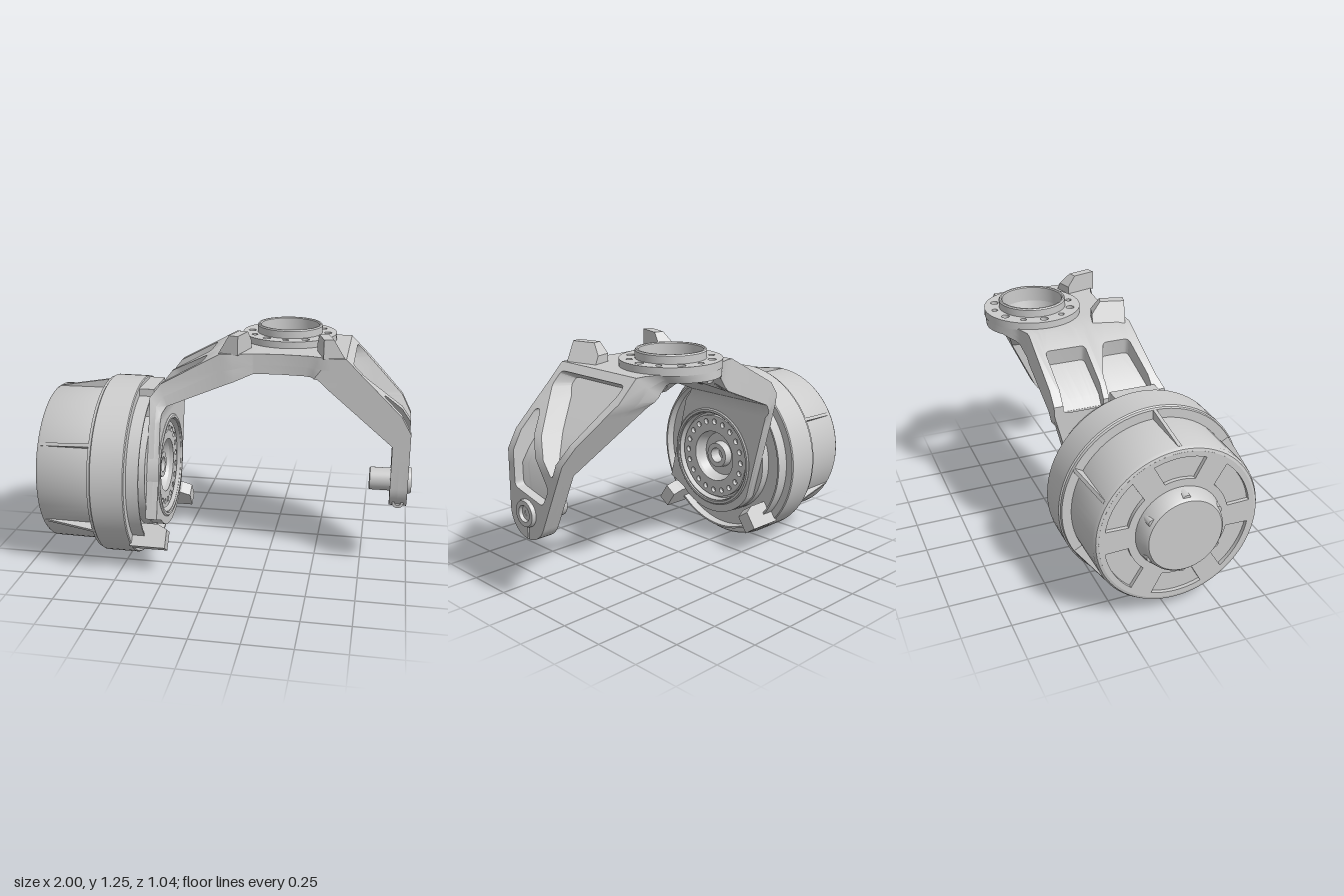
import * as THREE from 'three';
import { toCreasedNormals } from 'three/addons/utils/BufferGeometryUtils.js';

const material = new THREE.MeshStandardMaterial({ color: 0xcccccc });
const AY = 0.485, AZ = 0.035; // height and depth of the wheel axle
const SX = 0.31, SZ = -0.262; // centre of the swivel flange
const { lerp, clamp } = THREE.MathUtils;

function add(parent, name, geo, crease = 0.6) {
  const mesh = new THREE.Mesh(toCreasedNormals(geo, crease), material);
  mesh.name = name;
  parent.add(mesh);
}

const arc = (x, y, r, a0, a1, n) => Array.from({ length: n + 1 }, (_, i) => {
  const a = lerp(a0, a1, i / n);
  return [x + r * Math.cos(a), y + r * Math.sin(a)];
});
const circle = (x, y, r, n = 24) => arc(x, y, r, 0, Math.PI * 2, n).slice(0, n);
const around = (n, f, start = 0) => Array.from({ length: n }, (_, i) => f(start + i / n * Math.PI * 2, i));

// Polygon with its corners rounded off
const rounded = (points, r) => points.flatMap((p, i) => {
  const c = new THREE.Vector2(...p);
  const [a, b] = [i + points.length - 1, i + 1].map(k => {
    const d = new THREE.Vector2(...points[k % points.length]).sub(c);
    return d.clone().setLength(Math.min(r, d.length() * 0.4)).add(c);
  });
  return new THREE.QuadraticBezierCurve(a, c, b).getPoints(4).map(v => [v.x, v.y]);
});

// Outline is turned counter-clockwise so that hole walls face the right way
function extrude(outline, holes, depth) {
  const vec = list => list.map(([x, y]) => new THREE.Vector2(x, y));
  const points = vec(outline);
  if (THREE.ShapeUtils.isClockWise(points)) points.reverse();
  const shape = new THREE.Shape(points);
  shape.holes = holes.map(h => new THREE.Path(vec(h)));
  return new THREE.ExtrudeGeometry(shape, { depth, bevelEnabled: false });
}

// Turned part on the axle; profile points are [radius, x]
const turned = (profile, segments = 72) =>
  new THREE.LatheGeometry(profile.map(([r, x]) => new THREE.Vector2(r, x)), segments)
    .rotateZ(-Math.PI / 2).translate(0, AY, AZ);

// Flat plate square to the axle
const axlePlate = (outline, holes, x0, x1) =>
  extrude(outline, holes, x1 - x0).rotateY(Math.PI / 2).translate(x0, AY, AZ);

// Cut triangles along a plane so that the sheet can bend there
function slice(tris, axis, v) {
  const out = [];
  for (const tri of tris) for (const sign of [1, -1]) {
    const d = tri.map(p => Math.abs(p[axis] - v) < 1e-6 ? 0 : (p[axis] - v) * sign);
    if (sign < 0 && d.every(k => k === 0)) continue;
    const poly = [];
    tri.forEach((a, i) => {
      const j = (i + 1) % 3, b = tri[j];
      if (d[i] >= 0) poly.push(a);
      if (d[i] * d[j] < 0) poly.push(a.map((k, c) => lerp(k, b[c], d[i] / (d[i] - d[j]))));
    });
    for (let i = 2; i < poly.length; i++) out.push([poly[0], poly[i - 1], poly[i]]);
  }
  return out;
}

// Fork stations: outer x, y and inner x, y (level with each other on the free arm)
const stations = [
  [-0.36, 0.12, -0.30, 0.12], [-0.36, 0.79, -0.30, 0.79], [-0.36, 0.92, -0.30, 0.83],
  [-0.31, 0.985, -0.28, 0.865], [0, 1.155, 0.02, 0.99], [0.17, 1.155, 0.17, 1.05],
  [0.5, 1.155, 0.465, 1.05], [0.64, 1.155, 0.5, 1.042], [0.745, 1.05, 0.525, 1.022],
  [0.797, 1, 0.55, 0.997], [0.93, 0.87, 0.701, 0.87], [0.98, 0.78, 0.807, 0.78],
  [0.98, 0.71, 0.89, 0.71], [0.98, 0.35, 0.89, 0.35],
];
const along = [0];
for (let i = 1; i < stations.length; i++) {
  along.push(along[i - 1] + Math.hypot(stations[i][0] - stations[i - 1][0], stations[i][1] - stations[i - 1][1]));
}
const U = s => {
  const i = Math.min(Math.floor(s), stations.length - 2);
  return lerp(along[i], along[i + 1], s - i);
};
const P = list => list.map(([s, z]) => [U(s), z]);
// Distance along at a height on the free arm
const armU = y => {
  const i = stations.findIndex((s, k) => k > 7 && s[1] <= y);
  return lerp(along[i - 1], along[i], (stations[i - 1][1] - y) / (stations[i - 1][1] - stations[i][1]));
};
const A = list => list.map(([y, z]) => [armU(y), z]);

// Layer of the fork: flat outline (distance along, z) bent over the stations, t 0 inner to 1 outer
function forkLayer(outline, holes, t0, t1) {
  const flip = list => list.map(([u, z]) => [u, -z]);
  const pos = extrude(flip(outline), holes.map(flip), t1 - t0).attributes.position;
  let tris = [];
  for (let i = 0; i < pos.count; i += 3) {
    tris.push([0, 1, 2].map(k => [pos.getX(i + k), -pos.getY(i + k), pos.getZ(i + k) + t0]));
  }
  along.slice(1, -1).forEach(u => { tris = slice(tris, 0, u); });
  for (const z of [-0.34, -0.4]) tris = slice(tris, 1, z);
  const out = [];
  for (const [u, z, t] of tris.flat()) {
    let i = 0;
    while (i < stations.length - 2 && u > along[i + 1]) i++;
    const f = (u - along[i]) / (along[i + 1] - along[i]);
    const [ox, oy, ix, iy] = stations[i].map((v, k) => lerp(v, stations[i + 1][k], f));
    // the rear lobe is thinner than the bridge
    const lift = clamp((-0.34 - z) / 0.06, 0, 1) * clamp(Math.min(i + f - 4, 7 - i - f), 0, 1);
    out.push(lerp(ix, ox, t), lerp(lerp(iy, Math.max(iy, 1.11), lift), oy, t), z);
  }
  const geo = new THREE.BufferGeometry();
  geo.setAttribute('position', new THREE.Float32BufferAttribute(out, 3));
  return geo;
}

function makeFork(group) {
  const top = U(4), cx = top + SX, end = armU(AY);
  const outline = [
    ...arc(AY - 0.12, AZ, 0.325, Math.PI - 0.78, Math.PI + 0.78, 20),
    ...P([[0.269, -0.23], [1.615, -0.375], [3, -0.38]]),
    [top + 0.03, -0.38], [top + 0.09, -0.4],
    ...arc(cx, SZ, 0.25, Math.PI + 0.66, Math.PI * 2 - 0.66, 20),
    [top + 0.53, -0.4], [top + 0.59, -0.38],
    ...A([[1.05, -0.375], [0.87, -0.292], [0.78, -0.25]]),
    ...arc(end, AZ, 0.135, -1.15, -0.04, 8),
    [end + 0.06, AZ - 0.005], [end + 0.06, AZ + 0.005], // clamp slot
    ...arc(end, AZ, 0.135, 0.04, Math.PI / 2, 10),
    [U(7), 0.165], [top + 0.56, 0.165], [top + 0.46, 0.13], [top + 0.31, 0.12],
    [top + 0.16, 0.13], [top + 0.06, 0.165],
    ...P([[3, 0.18], [2, 0.21], [0.269, 0.365]]),
  ];
  const bolts = x => around(12, (a, i) =>
    circle(x + 0.205 * Math.cos(a), SZ + 0.205 * Math.sin(a), i % 2 ? 0.016 : 0.021, 12));
  const through = [circle(cx, SZ, 0.157, 48), circle(AY - 0.12, AZ, 0.255, 48), ...bolts(cx)];
  const pockets = [
    P([[1.7, -0.33], [1.7, -0.12], [3.68, -0.12], [3.68, -0.33]]),
    P([[1.7, -0.09], [1.7, 0.15], [3.68, 0.12], [3.68, -0.02], [3.1, -0.09]]),
    A([[1.12, 0.125], [1.12, -0.335], [1.08, -0.335], [0.87, -0.25], [0.7, -0.17], [0.87, -0.035], [1.06, 0.125]]),
    A([[0.96, 0.125], [0.96, 0.09], [0.87, 0.02], [0.64, -0.14], [0.55, -0.09], [0.6, 0.125]]),
  ].map(p => rounded(p, 0.025));
  add(group, 'forkInnerSkin', forkLayer(outline, through, 0, 0.45));
  add(group, 'forkRibbedSkin', forkLayer(outline, [...through, ...pockets], 0.45, 1));

  // Swivel flange with bolt holes and bearing collar
  const flange = extrude(circle(SX, SZ, 0.253, 64), [circle(SX, SZ, 0.165, 48), ...bolts(SX)], 0.04);
  add(group, 'swivelFlange', flange.rotateX(Math.PI / 2).translate(0, 1.19, 0));
  const collar = [[0.157, 1.15], [0.175, 1.15], [0.175, 1.228], [0.17, 1.235], [0.162, 1.235], [0.157, 1.23], [0.157, 1.15]];
  add(group, 'swivelCollar', new THREE.LatheGeometry(collar.map(p => new THREE.Vector2(...p)), 64).translate(SX, 0, SZ));

  // Steering stops, flared on their outer side
  for (const side of [-1, 1]) {
    const stop = extrude([[-0.085, 0], [-0.085, 0.1], [0.04, 0.1], [0.085, 0.045], [0.085, 0]], [], 0.05)
      .rotateY(Math.PI / 2).translate(-0.025, 0, 0);
    const p = stop.attributes.position;
    for (let i = 0; i < p.count; i++) {
      if (p.getX(i) * side < 0) continue;
      p.setX(i, p.getX(i) + side * 0.6 * (0.1 - p.getY(i)));
    }
    add(group, 'steeringStop', stop.rotateY(side * 0.27).translate(SX + side * 0.218, 1.15, 0.08), 0.3);
  }

  // Pin, boss and clamp screw of the free arm
  add(group, 'armPin', turned([[0, 0.81], [0.018, 0.81], [0.018, 0.78], [0.055, 0.78], [0.06, 0.785], [0.06, 0.91], [0, 0.91]], 32));
  add(group, 'armBoss', turned([[0.07, 0.97], [0.07, 0.99], [0.065, 1], [0.042, 1], [0.037, 0.99], [0.037, 0.983], [0.016, 0.983], [0.016, 0.96], [0, 0.96]], 32));
  const screw = [[0.03, 0], [0.03, 0.07], [0.016, 0.07], [0.016, 0.03], [0, 0.03]].map(p => new THREE.Vector2(...p));
  add(group, 'clampScrew', new THREE.LatheGeometry(screw, 24).rotateX(Math.PI / 2).translate(0.935, 0.396, 0.068));
}

function makeDrum(group) {
  add(group, 'drum', turned([[0, -0.9], [0.4, -0.9], [0.4, -0.92], [0.415, -0.916], [0.425, -0.9], [0.428, -0.625],
    [0.475, -0.625], [0.478, -0.61], [0.485, -0.605], [0.485, -0.435], [0.48, -0.43], [0, -0.43]]));
  add(group, 'backingRing', turned([[0.44, -0.44], [0.44, -0.365], [0.43, -0.365], [0.425, -0.41], [0.33, -0.41],
    [0.33, -0.36], [0.26, -0.36], [0.26, -0.41], [0, -0.41]]));

  // End cover with sector windows
  const windows = around(6, a => [...arc(0, 0, 0.375, a + 0.16, a + 0.88, 10), ...arc(0, 0, 0.26, a + 0.82, a + 0.22, 10)]);
  add(group, 'endCover', axlePlate(circle(0, 0, 0.402, 64), windows, -0.92, -0.895));
  add(group, 'hubCap', turned([[0, -1], [0.188, -1], [0.198, -0.99], [0.222, -0.915], [0.222, -0.89]]));
  around(6, a => {
    const lug = new THREE.CylinderGeometry(0.028, 0.022, 0.07, 16).rotateZ(-Math.PI / 2);
    add(group, 'hubLug', lug.translate(-0.95, AY + 0.19 * Math.sin(a), AZ + 0.19 * Math.cos(a)));
  }, 0.5);

  // Tapered ribs on the drum shell
  around(6, a => {
    const rib = extrude([[-0.9, 0.415], [-0.62, 0.415], [-0.62, 0.475], [-0.9, 0.426]], [], 0.018).translate(0, 0, -0.009);
    add(group, 'drumRib', rib.rotateX(a).translate(0, AY, AZ));
  });

  // Recessed bearing carrier inside the fork plate
  add(group, 'bearingCarrier', turned([[0.282, -0.37], [0.282, -0.298], [0.275, -0.292], [0.262, -0.292], [0.255, -0.325],
    [0.25, -0.34], [0.145, -0.34], [0.125, -0.385], [0.075, -0.385], [0.07, -0.34], [0.042, -0.34], [0.036, -0.4], [0, -0.4]]));
  const boltHoles = around(20, a => circle(0.203 * Math.cos(a), 0.203 * Math.sin(a), 0.016, 12));
  add(group, 'boltRing', axlePlate(circle(0, 0, 0.238, 64), [circle(0, 0, 0.145, 48), ...boltHoles], -0.342, -0.318));

  // Chamfered feet and the upper spacer
  for (const side of [-1, 1]) {
    const foot = extrude([[-0.44, -0.065], [-0.3, -0.065], [-0.25, -0.04], [-0.25, 0.06], [-0.44, 0.06]], [], 0.075)
      .translate(0, 0, -0.0375).rotateX(Math.PI - side * 0.6);
    add(group, 'foot', foot.translate(0, 0.19, AZ + side * 0.31), 0.3);
  }
  add(group, 'upperSpacer', new THREE.BoxGeometry(0.09, 0.15, 0.24).translate(-0.395, 0.872, 0.035));
}

export function createModel() {
  const model = new THREE.Group();
  model.name = 'wheelFork';
  for (const [name, make] of [['fork', makeFork], ['wheelDrum', makeDrum]]) {
    const part = new THREE.Group();
    part.name = name;
    make(part);
    model.add(part);
  }
  return model;
}
